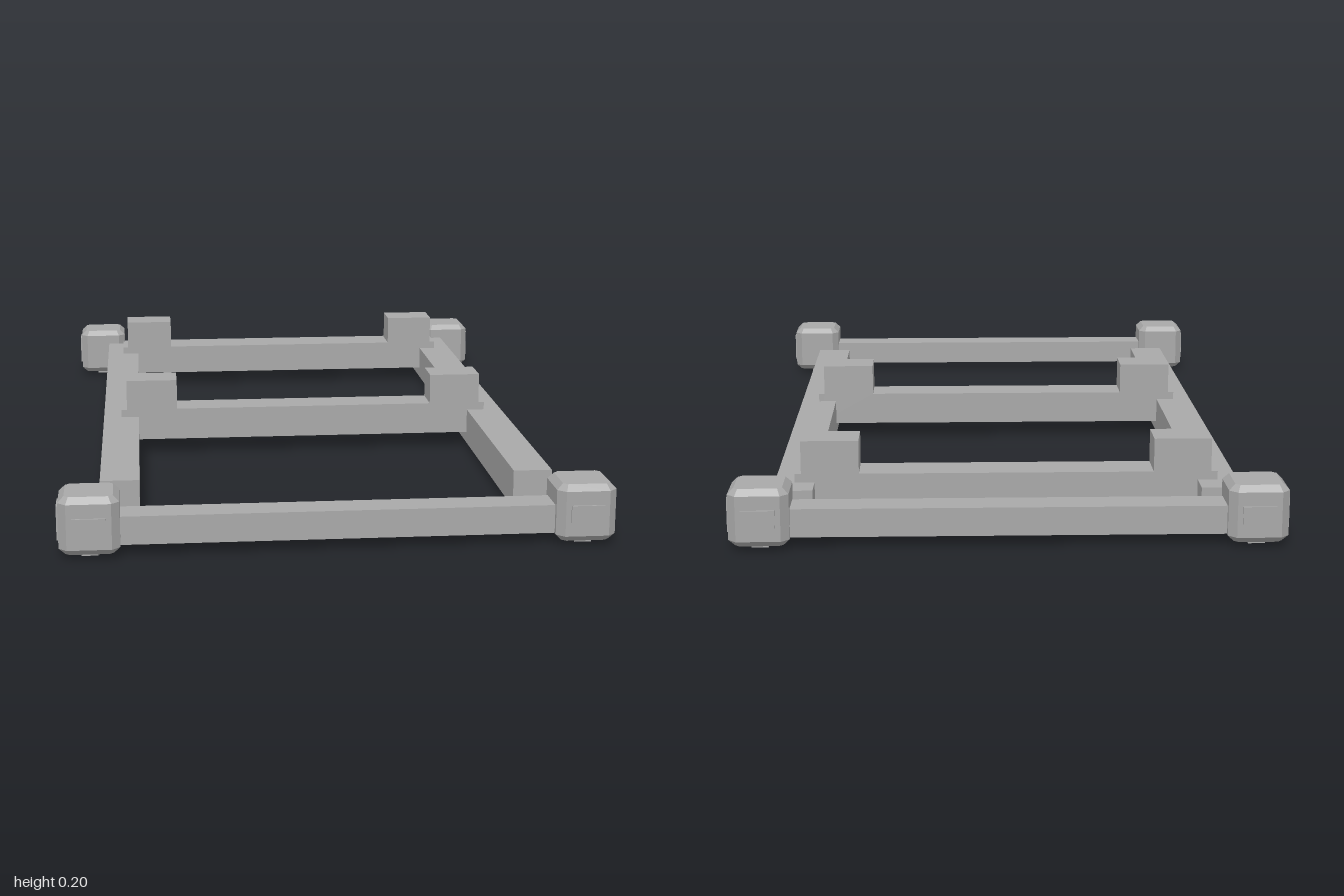
import * as THREE from 'three';

const grey = new THREE.MeshStandardMaterial({ color: 0xa8a8a8 });
grey.name = 'grey';

// Box given by its min and max on each axis
function box(name, [x0, x1], [y0, y1], [z0, z1]) {
  const mesh = new THREE.Mesh(new THREE.BoxGeometry(x1 - x0, y1 - y0, z1 - z0), grey);
  mesh.position.set((x0 + x1) / 2, (y0 + y1) / 2, (z0 + z1) / 2);
  mesh.name = name;
  return mesh;
}

// Cube with every edge cut by a flat chamfer, centred on the origin
function chamferedBlock(w, h, d, c) {
  const a = w / 2 - c, b = d / 2 - c, k = c * 0.7;
  const shape = new THREE.Shape([
    [a, -b + k], [a, b - k], [a - k, b], [-a + k, b],
    [-a, b - k], [-a, -b + k], [-a + k, -b], [a - k, -b],
  ].map(([x, y]) => new THREE.Vector2(x, y)));
  const geo = new THREE.ExtrudeGeometry(shape, {
    depth: h - 2 * c, bevelEnabled: true, bevelThickness: c, bevelSize: c, bevelSegments: 1,
  });
  return geo.translate(0, 0, -(h - 2 * c) / 2).rotateX(-Math.PI / 2);
}

// Corner block with raised plates on its outer faces and a small foot
function cornerBlock(sx, sz) {
  const g = new THREE.Group();
  g.name = 'cornerBlock';
  const block = new THREE.Mesh(chamferedBlock(0.135, 0.132, 0.135, 0.014), grey);
  block.name = 'block';
  g.add(block);
  const endPlate = box('endPlate', [-0.0375, 0.0375], [-0.02, 0.02], [-0.004, 0.004]);
  endPlate.position.z = sz * 0.068;
  const sidePlate = box('sidePlate', [-0.004, 0.004], [-0.039, 0.039], [-0.031, 0.031]);
  sidePlate.position.x = sx * 0.068;
  g.add(endPlate, sidePlate, box('foot', [-0.019, 0.019], [-0.076, -0.06], [-0.032, 0.032]));
  g.position.set(sx * 0.553, 0.076, sz * 0.928);
  return g;
}

// Cross member: a bar with an upright stop at each end and a short lip outside it
function crossMember(z) {
  const right = [[0.488, 0.04], [0.488, 0.122], [0.473, 0.122], [0.473, 0.2], [0.34, 0.2], [0.34, 0.122]];
  const left = right.map(([x, y]) => [-x, y]).reverse();
  const shape = new THREE.Shape([...right, ...left].map(([x, y]) => new THREE.Vector2(x, y)));
  const geo = new THREE.ExtrudeGeometry(shape, { depth: 0.093, bevelEnabled: false });
  const mesh = new THREE.Mesh(geo, grey);
  mesh.position.z = z - 0.0465;
  mesh.name = 'crossMember';
  return mesh;
}

export function createModel() {
  const model = new THREE.Group();
  model.name = 'baseFrame';

  for (const s of [-1, 1]) {
    // Long side rails
    const rail = box('sideRail', [-0.046, 0.046], [0.011, 0.102], [-0.862, 0.722]);
    rail.position.x = s * 0.488;
    model.add(rail);

    // End bars joining the corner blocks
    const z = s * 0.928;
    model.add(box('endBar', [-0.5, 0.5], [0.025, 0.09], [z - 0.039, z + 0.039]));
    for (const sx of [-1, 1]) model.add(cornerBlock(sx, s));
  }

  model.add(crossMember(0.067), crossMember(-0.748));
  return model;
}
